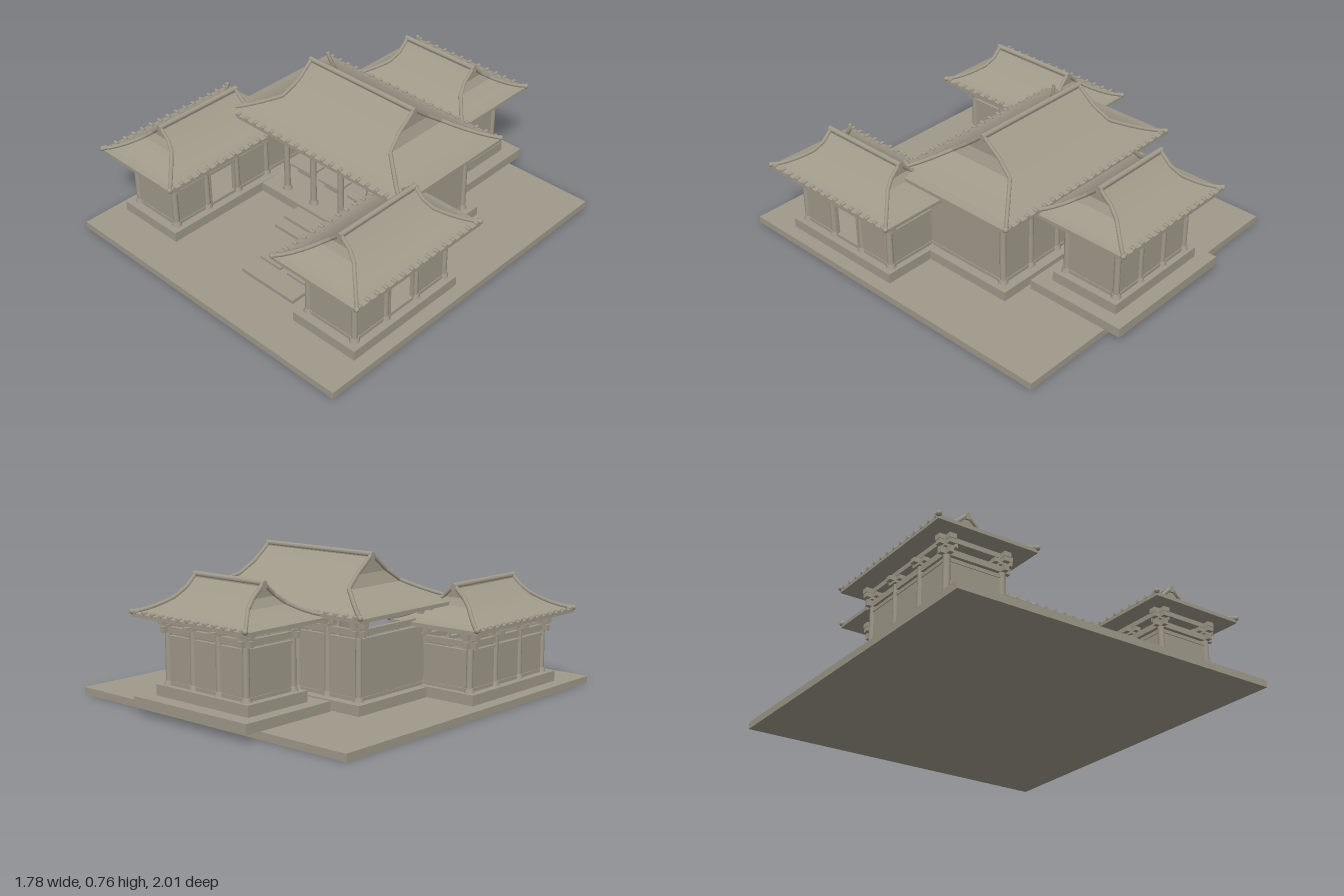
import * as THREE from 'three';

const stone = new THREE.MeshStandardMaterial({ color: 0xa09a8a });
stone.name = 'warmStone';

function add(parent, name, geometry, x = 0, y = 0, z = 0) {
  const mesh = new THREE.Mesh(geometry, stone);
  mesh.name = name;
  mesh.position.set(x, y, z);
  parent.add(mesh);
  return mesh;
}

// box given by its ranges on each axis
function block(parent, name, x0, x1, y0, y1, z0, z1) {
  return add(parent, name, new THREE.BoxGeometry(x1 - x0, y1 - y0, z1 - z0),
    (x0 + x1) / 2, (y0 + y1) / 2, (z0 + z1) / 2);
}

// skin between four-cornered rings, ordered from the ridge outward and then under
function loft(rings) {
  const pos = [];
  const corner = ([x, y, z], k) => [k < 2 ? x : -x, y, k === 0 || k === 3 ? z : -z];
  for (let i = 0; i < rings.length - 1; i++) {
    for (let k = 0; k < 4; k++) {
      const n = (k + 1) % 4;
      const a = corner(rings[i], k), b = corner(rings[i + 1], k);
      const c = corner(rings[i + 1], n), d = corner(rings[i], n);
      pos.push(...a, ...b, ...c, ...a, ...c, ...d);
    }
  }
  const g = new THREE.BufferGeometry();
  g.setAttribute('position', new THREE.Float32BufferAttribute(pos, 3));
  g.computeVertexNormals();
  return g;
}

// hip-and-gable roof with its ridge along x
function roof({ length, width, gable, hipStart, eave, ridge, power, tiles }) {
  const group = new THREE.Group();
  group.name = 'roof';
  const flare = gable + 0.022, inner = hipStart * 0.55;
  const halfX = t => {
    if (t <= inner) return gable;
    if (t <= hipStart) return gable + (flare - gable) * (t - inner) / (hipStart - inner);
    return flare + (length - flare) * (t - hipStart) / (1 - hipStart);
  };
  const height = t => eave + (ridge - eave) * Math.pow(1 - t, power);
  const steps = [0, inner / 2, inner, hipStart];
  for (let i = 1; i <= 5; i++) steps.push(hipStart + (1 - hipStart) * i / 5);

  const rings = steps.map(t => [halfX(t), height(t), width * t]);
  rings.push([length, eave - 0.018, width], [0, eave - 0.018, 0]);
  add(group, 'tiledSlopes', loft(rings));

  // ridge beam with a rounded cap
  block(group, 'ridgeBeam', -gable - 0.01, gable + 0.01, ridge - 0.02, ridge + 0.008, -0.011, 0.011);
  const cap = add(group, 'ridgeCap', new THREE.CylinderGeometry(0.014, 0.014, 2 * gable + 0.02, 10), 0, ridge + 0.004, 0);
  cap.rotation.z = Math.PI / 2;

  // ribs down the gables and hips
  for (const sx of [-1, 1]) for (const sz of [-1, 1]) {
    const path = new THREE.CurvePath();
    const pts = steps.map(t => new THREE.Vector3(sx * halfX(t), height(t) + 0.006, sz * width * t));
    for (let i = 1; i < pts.length; i++) path.add(new THREE.LineCurve3(pts[i - 1], pts[i]));
    add(group, 'hipRib', new THREE.TubeGeometry(path, 32, 0.011, 6));
    add(group, 'hipEnd', new THREE.SphereGeometry(0.014, 8, 6), sx * length * 0.995, eave + 0.006, sz * width * 0.99);
  }

  // round tile ends on the long eaves
  for (const s of [-1, 1]) for (let i = 0; i < tiles; i++) {
    const x = length * 0.94 * (-1 + 2 * i / (tiles - 1));
    const tile = add(group, 'eaveTile', new THREE.CylinderGeometry(0.0095, 0.0095, 0.028, 8), x, eave + 0.004, s * (width - 0.011));
    tile.rotation.x = Math.PI / 2;
  }
  return group;
}

// timber hall: columns, panelled walls, beams and brackets
function hall({ name, x, z, turn = 0, hx, hz, bays, floor, wallTop, open = false, door = false, roof: r }) {
  const group = new THREE.Group();
  group.name = name;
  group.position.set(x, 0, z);
  group.rotation.y = turn;
  const tie = wallTop + 0.012, cap = tie + 0.03, plate = r.eave - 0.045;

  for (const s of [-1, 1]) {
    for (let i = 0; i <= bays; i++) {
      const cx = -hx + 2 * hx * i / bays, cz = s * hz;
      add(group, 'column', new THREE.CylinderGeometry(0.016, 0.017, cap - floor, 12), cx, (cap + floor) / 2, cz);
      add(group, 'columnBase', new THREE.CylinderGeometry(0.02, 0.026, 0.022, 12), cx, floor + 0.011, cz);
      // stepped bracket
      block(group, 'bracketBlock', cx - 0.025, cx + 0.025, cap, cap + 0.012, cz - 0.025, cz + 0.025);
      block(group, 'bracketArm', cx - 0.047, cx + 0.047, cap + 0.012, plate, cz - 0.016, cz + 0.016);
      block(group, 'bracketCrossArm', cx - 0.016, cx + 0.016, cap + 0.012, plate, cz - 0.047, cz + 0.047);
    }
    // long beams
    block(group, 'tieBeam', -hx - 0.04, hx + 0.04, tie, cap, s * hz - 0.011, s * hz + 0.011);
    block(group, 'eavePlate', -hx - 0.05, hx + 0.05, plate, plate + 0.024, s * hz - 0.018, s * hz + 0.018);
    // end beams and end walls
    block(group, 'endTieBeam', s * hx - 0.011, s * hx + 0.011, tie, cap, -hz - 0.04, hz + 0.04);
    block(group, 'endPlate', s * hx - 0.018, s * hx + 0.018, plate, plate + 0.024, -hz - 0.05, hz + 0.05);
    block(group, 'endWall', s * hx - 0.006, s * hx + 0.006, floor, wallTop, -hz, hz);
    for (const y of [floor, wallTop - 0.018])
      block(group, 'endRail', s * hx - 0.01, s * hx + 0.01, y, y + 0.018, -hz, hz);

    // long walls bay by bay
    if (open && s > 0) continue;
    for (let i = 0; i < bays; i++) {
      const x0 = -hx + 2 * hx * i / bays, x1 = x0 + 2 * hx / bays, w = s * hz;
      for (const y of [floor, wallTop - 0.018])
        block(group, 'wallRail', x0, x1, y, y + 0.018, w - 0.01, w + 0.01);
      if (door && s > 0 && i === 1) {
        for (const jx of [x0 + 0.015, x1 - 0.027])
          block(group, 'doorJamb', jx, jx + 0.012, floor, wallTop, w - 0.01, w + 0.01);
      } else block(group, 'wallPanel', x0, x1, floor, wallTop, w - 0.006, w + 0.006);
    }
  }
  group.add(roof(r));
  return group;
}

export function createModel() {
  const model = new THREE.Group();
  model.name = 'courtyardCompound';

  // ground and platforms
  block(model, 'groundSlab', -0.88, 0.88, 0, 0.037, -0.91, 1);
  block(model, 'mainPlatform', -0.535, 0.535, 0.03, 0.088, -0.43, 0.19);
  block(model, 'rearPlatform', -0.38, 0.38, 0.04, 0.09, -1, -0.455);
  block(model, 'rearPlinth', -0.31, 0.31, 0.09, 0.145, -0.92, -0.535);

  // main hall, open towards the courtyard
  model.add(hall({
    name: 'mainHall', x: 0, z: -0.12, hx: 0.48, hz: 0.25, bays: 5, floor: 0.088, wallTop: 0.385, open: true,
    roof: { length: 0.6, width: 0.38, gable: 0.345, hipStart: 0.5, eave: 0.507, ridge: 0.738, power: 1.4, tiles: 20 }
  }));

  // rear hall
  model.add(hall({
    name: 'rearHall', x: 0, z: -0.73, hx: 0.26, hz: 0.15, bays: 3, floor: 0.145, wallTop: 0.385,
    roof: { length: 0.38, width: 0.27, gable: 0.225, hipStart: 0.45, eave: 0.49, ridge: 0.657, power: 1.6, tiles: 13 }
  }));

  // side wings
  for (const s of [-1, 1]) {
    const cx = s * 0.615;
    block(model, 'wingPlatform', cx - 0.195, cx + 0.195, 0.03, 0.09, 0.075, 0.79);
    model.add(hall({
      name: s > 0 ? 'leftWing' : 'rightWing', x: cx, z: 0.425, turn: Math.PI / 2, hx: 0.31, hz: 0.145, bays: 3,
      floor: 0.09, wallTop: 0.295, door: true,
      roof: { length: 0.423, width: 0.263, gable: 0.248, hipStart: 0.39, eave: 0.415, ridge: 0.58, power: 1.6, tiles: 15 }
    }));
  }

  // entrance steps
  block(model, 'lowerStep', -0.15, 0.14, 0.03, 0.055, 0.18, 0.36);
  block(model, 'upperStep', -0.15, 0.14, 0.03, 0.072, 0.18, 0.295);

  // courtyard dais with two blocks
  block(model, 'courtyardDais', -0.01, 0.34, 0.03, 0.058, 0.475, 0.715);
  for (const x of [0, 0.185]) block(model, 'daisBlock', x, x + 0.138, 0.058, 0.072, 0.52, 0.6);

  // low tables in the main hall
  for (const x of [-0.31, -0.11, 0.1, 0.31]) {
    block(model, 'tableTop', x - 0.075, x + 0.075, 0.125, 0.138, -0.09, 0.01);
    block(model, 'tableFoot', x - 0.045, x + 0.045, 0.088, 0.125, -0.07, -0.01);
  }

  // shelved cabinet against the back wall
  block(model, 'cabinet', -0.42, -0.23, 0.088, 0.295, -0.36, -0.29);
  for (let i = 0; i < 5; i++) {
    const y = 0.1 + i * 0.046;
    block(model, 'cabinetShelf', -0.43, -0.22, y, y + 0.008, -0.36, -0.28);
  }
  return model;
}
